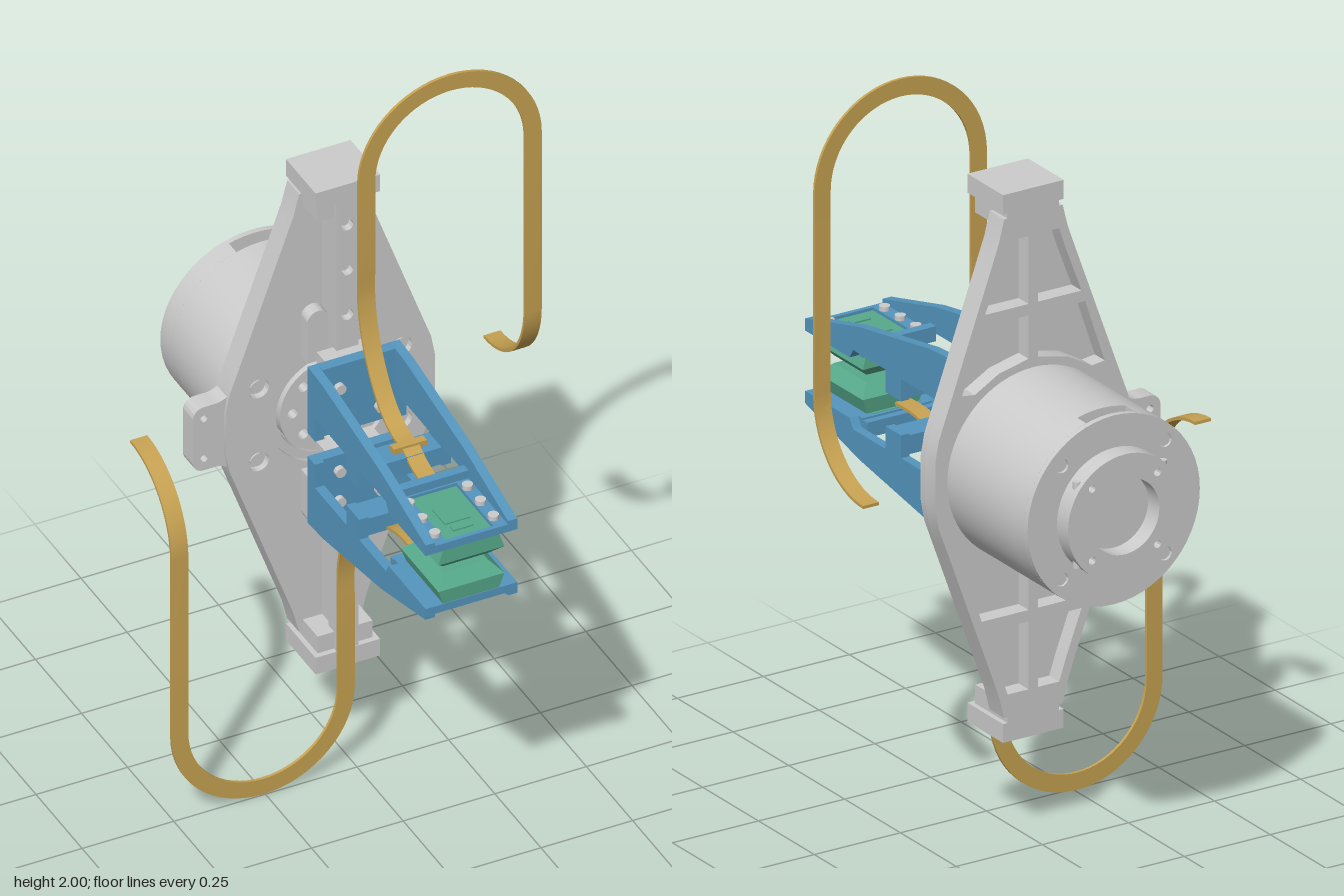
import * as THREE from 'three';
import { toCreasedNormals } from 'three/addons/utils/BufferGeometryUtils.js';
import { ConvexGeometry } from 'three/addons/geometries/ConvexGeometry.js';

const mat = (color) => new THREE.MeshStandardMaterial({ color });
const GREY = mat(0xcccccc), BLUE = mat(0x5596be), GREEN = mat(0x57a98c), GOLD = mat(0xc7a252);
const V = (x, y, z) => new THREE.Vector3(x, y, z);

function add(parent, name, geo, material = GREY) {
  const m = new THREE.Mesh(toCreasedNormals(geo, 0.5), material);
  m.name = name;
  parent.add(m);
  return m;
}
// box given by its extents
function box(p, name, x0, x1, y0, y1, z0, z1, m) {
  const g = new THREE.BoxGeometry(x1 - x0, y1 - y0, z1 - z0);
  return add(p, name, g.translate((x0 + x1) / 2, (y0 + y1) / 2, (z0 + z1) / 2), m);
}
// cylinder along z
function cylZ(p, name, r, x, y, z0, z1, m, sides = 20) {
  const g = new THREE.CylinderGeometry(r, r, z1 - z0, sides).rotateX(Math.PI / 2);
  return add(p, name, g.translate(x, y, (z0 + z1) / 2), m);
}
const poly = (pts) => new THREE.Shape(pts.map(([x, y]) => new THREE.Vector2(x, y)));
const circle = (r, x = 0, y = 0) => new THREE.Shape().absarc(x, y, r, 0, Math.PI * 2);
function extrude(shape, z0, z1, holes = []) {
  shape.holes = holes;
  return new THREE.ExtrudeGeometry(shape, { depth: z1 - z0, bevelEnabled: false, curveSegments: 28 }).translate(0, 0, z0);
}
const four = [[1, 1], [-1, 1], [-1, -1], [1, -1]];

// diamond base plate outline, one quarter mirrored four ways
function plateOutline() {
  const q = [[0.285, 0.06], [0.275, 0.115], [0.255, 0.17], [0.125, 0.53], [0.1, 0.6], [0.085, 0.66]];
  const right = [...q.map(([x, y]) => [x, -y]).reverse(), ...q];
  return poly([...right, ...right.map(([x, y]) => [-x, -y])]);
}

function buildPlate(root) {
  const g = new THREE.Group();
  g.name = 'basePlate';
  root.add(g);
  const screws = four.map(([a, b]) => [a * 0.195, b * 0.11]);
  const screwHoles = () => screws.map(([x, y]) => circle(0.028, x, y));
  add(g, 'plateSkin', extrude(plateOutline(), -0.165, -0.145, [circle(0.165), ...screwHoles()]));
  // ribbed back with open pockets
  const pockets = [];
  for (const [a, b] of four) {
    for (const pts of [
      [[0.014, 0.42], [0.14, 0.42], [0.095, 0.54], [0.075, 0.6], [0.014, 0.6]],
      [[0.014, 0.275], [0.1, 0.255], [0.17, 0.215], [0.207, 0.22], [0.15, 0.39], [0.014, 0.39]],
    ]) pockets.push(poly(pts.map(([x, y]) => [a * x, b * y])));
  }
  add(g, 'plateRibs', extrude(plateOutline(), -0.21, -0.165, [circle(0.165), ...pockets]));
  for (const [x, y] of screws) cylZ(g, 'plateScrew', 0.018, x, y, -0.17, -0.152);

  // side ear
  const ear = new THREE.Shape();
  ear.moveTo(-0.22, 0.16);
  ear.quadraticCurveTo(-0.27, 0.095, -0.31, 0.095);
  ear.lineTo(-0.34, 0.095);
  ear.absarc(-0.34, 0.065, 0.03, Math.PI / 2, Math.PI, false);
  ear.absarc(-0.34, -0.065, 0.03, Math.PI, Math.PI * 1.5, false);
  ear.lineTo(-0.31, -0.095);
  ear.quadraticCurveTo(-0.27, -0.095, -0.22, -0.16);
  add(g, 'sideEar', extrude(ear, -0.208, -0.155, [circle(0.01, -0.34, 0.06), circle(0.01, -0.34, -0.06)]));

  // hub inside the plate bore
  const bolts = [];
  for (let i = 0; i < 8; i++) bolts.push(circle(0.014, 0.1 * Math.cos(i * Math.PI / 4), 0.1 * Math.sin(i * Math.PI / 4)));
  add(g, 'hubFace', extrude(circle(0.135), -0.2, -0.15, [circle(0.06), ...bolts]));
  add(g, 'hubRing', extrude(circle(0.166), -0.2, -0.158, [circle(0.142)]));

  // rails, end blocks and rail bosses, top and bottom
  for (const s of [1, -1]) {
    const e = new THREE.Group();
    e.name = s > 0 ? 'upperRail' : 'lowerRail';
    e.rotation.z = s > 0 ? 0 : Math.PI;
    g.add(e);
    box(e, 'endBlock', -0.088, 0.088, 0.675, 0.725, -0.21, -0.05);
    box(e, 'endNeck', -0.075, 0.075, 0.625, 0.68, -0.21, -0.065);
    box(e, 'railBase', -0.022, 0.022, 0.16, 0.64, -0.15, -0.09);
    const strip = poly([[-0.03, 0.16], [0.03, 0.16], [0.03, 0.68], [-0.03, 0.68]]);
    add(e, 'railStrip', extrude(strip, -0.095, -0.052, [0.6, 0.465, 0.33].map((y) => circle(0.016, 0, y))));
    for (const y of [0.6, 0.465, 0.33]) cylZ(e, 'railScrew', 0.012, 0, y, -0.092, -0.068);
    for (const a of [1, -1]) {
      box(e, 'railBoss', a * 0.05 - 0.03, a * 0.05 + 0.03, 0.17, 0.29, -0.15, -0.11);
      cylZ(e, 'railBossEnd', 0.03, a * 0.05, 0.29, -0.15, -0.11);
    }
  }
}

function buildMotor(root) {
  const g = new THREE.Group();
  g.name = 'motor';
  root.add(g);
  cylZ(g, 'motorBody', 0.25, 0, 0, -0.515, -0.2, GREY, 64);
  // slotted rim, open at top and bottom
  for (const s of [0, Math.PI]) {
    const half = new THREE.Shape();
    const a = Math.PI / 2 - 0.284, b = Math.PI / 2 - 0.358;
    half.absarc(0, 0, 0.25, s - a, s + a, false);
    half.absarc(0, 0, 0.2, s + b, s - b, true);
    add(g, 'motorRim', extrude(half, -0.555, -0.515));
  }
  const outer = four.map(([a, b]) => circle(0.018, a * 0.15, b * 0.15));
  add(g, 'motorCap', extrude(circle(0.25), -0.57, -0.555, outer));
  for (const [a, b] of four) cylZ(g, 'capScrew', 0.017, a * 0.15, b * 0.15, -0.564, -0.555);
  const small = four.map(([a, b]) => circle(0.01, a * 0.095, b * 0.095));
  add(g, 'rearFlange', extrude(circle(0.165), -0.62, -0.568, [circle(0.1), ...small]));
  for (const [a, b] of four) {
    const pin = new THREE.CylinderGeometry(0.01, 0.01, 0.02, 12).translate(a * 0.125, b * 0.104, -0.597);
    add(g, 'flangeSetScrew', pin);
  }
}

function buildArm(root, name) {
  const g = new THREE.Group();
  g.name = name;
  root.add(g);
  box(g, 'carriage', -0.075, 0.075, 0.04, 0.23, -0.07, -0.018);
  // tapered side rails, drawn in z and y
  const side = [[-0.02, 0.235], [0.06, 0.23], [0.38, 0.175], [0.62, 0.112], [0.62, 0.08], [0.42, 0.08], [0.405, 0.105],
    [0.26, 0.105], [0.26, 0.045], [0.19, 0.045], [0.19, 0.105], [0.02, 0.105], [0.02, 0.035], [-0.02, 0.035]];
  for (const a of [1, -1]) {
    add(g, 'sideRail', extrude(poly(side), -0.0125, 0.0125).rotateY(-Math.PI / 2).translate(a * 0.1125, 0, 0), BLUE);
  }
  const wall = poly([[-0.1, 0.035], [0.1, 0.035], [0.1, 0.235], [-0.1, 0.235]]);
  add(g, 'backWall', extrude(wall, -0.02, 0.01), BLUE);
  for (const a of [1, -1]) for (const y of [0.08, 0.17]) cylZ(g, 'wallScrew', 0.014, a * 0.055, y, 0.005, 0.025);
  box(g, 'crossBar', -0.1, 0.1, 0.05, 0.1, 0.19, 0.26, BLUE);
  box(g, 'fingerRib', -0.1, 0.1, 0.085, 0.125, 0.38, 0.405, BLUE);
  const tip = poly([[-0.1, 0.4], [0.1, 0.4], [0.1, 0.62], [-0.1, 0.62]]);
  const win = poly([[-0.065, 0.41], [0.065, 0.41], [0.065, 0.608], [-0.065, 0.608]]);
  add(g, 'fingerPlate', extrude(tip, -0.102, -0.08, [win]).rotateX(Math.PI / 2), BLUE);
  for (const a of [1, -1]) for (const z of [0.44, 0.51, 0.58]) {
    add(g, 'fingerScrew', new THREE.CylinderGeometry(0.014, 0.014, 0.014, 16).translate(a * 0.08, 0.107, z));
  }

  // bevelled grip pad with a plug in the finger window
  const pts = [];
  for (const [y, w, z0, z1] of [[0.085, 0.075, 0.42, 0.618], [0.04, 0.09, 0.415, 0.62], [0.01, 0.06, 0.445, 0.59]]) {
    for (const a of [1, -1]) pts.push(V(a * w, y, z0), V(a * w, y, z1));
  }
  add(g, 'gripPad', new ConvexGeometry(pts), GREEN);
  box(g, 'padPlug', -0.063, 0.063, 0.08, 0.095, 0.412, 0.606, GREEN);
  box(g, 'padRaisedPanel', -0.035, 0.035, 0.09, 0.099, 0.475, 0.545, GREEN);
  box(g, 'padKey', -0.028, 0.028, 0.09, 0.099, 0.56, 0.578, GREEN);

  // flat cable: from the pad, up through an arch, down to a curl behind
  const W = 0.023, T = 0.004, R = 0.227, X0 = 0.028, path = [];
  const start = new THREE.CatmullRomCurve3([V(X0, 0.072, 0.45), V(X0, 0.072, 0.34), V(X0, 0.085, 0.28), V(X0, 0.106, 0.235),
    V(X0, 0.112, 0.18), V(X0, 0.15, 0.11), V(X0, 0.235, 0.045), V(X0, 0.31, 0.012), V(X0, 0.4, -0.006), V(X0, 0.5, -0.006)]);
  for (const p of start.getPoints(40)) path.push([p, V(1, 0, 0)]);
  for (let i = 0; i <= 32; i++) {
    const t = Math.PI * (1 - i / 32), c = Math.cos(t), s = Math.sin(t);
    path.push([V(X0 + R + R * c, 0.75 + R * s, -0.006), V(-c, -s, 0)]);
  }
  for (let i = 0; i <= 14; i++) {
    const t = (i / 14) * Math.PI / 2;
    path.push([V(X0 + 2 * R, 0.22 - 0.22 * Math.sin(t), -0.226 + 0.22 * Math.cos(t)), V(-1, 0, 0)]);
  }
  add(g, 'flatCable', ribbon(path, W, T), GOLD);
  box(g, 'cableClip', -0.018, 0.072, 0.098, 0.116, 0.214, 0.236, GOLD);
  return g;
}

// rectangular section swept along [point, width direction] pairs
function ribbon(path, w, t) {
  const pos = [], idx = [], n = path.length;
  path.forEach(([p, wd], i) => {
    const tan = path[Math.min(i + 1, n - 1)][0].clone().sub(path[Math.max(i - 1, 0)][0]).normalize();
    const nor = tan.cross(wd).normalize();
    for (const [a, b] of four) {
      pos.push(...p.clone().addScaledVector(wd, a * w).addScaledVector(nor, b * t).toArray());
    }
    if (i === n - 1) return;
    for (let k = 0; k < 4; k++) {
      const a = i * 4 + k, b = i * 4 + (k + 1) % 4;
      idx.push(a, b, b + 4, a, b + 4, a + 4);
    }
  });
  const e = (n - 1) * 4;
  idx.push(0, 2, 1, 0, 3, 2, e, e + 1, e + 2, e, e + 2, e + 3);
  const g = new THREE.BufferGeometry();
  g.setAttribute('position', new THREE.Float32BufferAttribute(pos, 3));
  g.setIndex(idx);
  return g;
}

export function createModel() {
  const model = new THREE.Group(), root = new THREE.Group();
  model.name = 'roboticGripper';
  root.name = 'gripper';
  root.position.y = 1;
  model.add(root);
  buildPlate(root);
  buildMotor(root);
  buildArm(root, 'upperArm');
  buildArm(root, 'lowerArm').rotation.z = Math.PI;
  return model;
}
